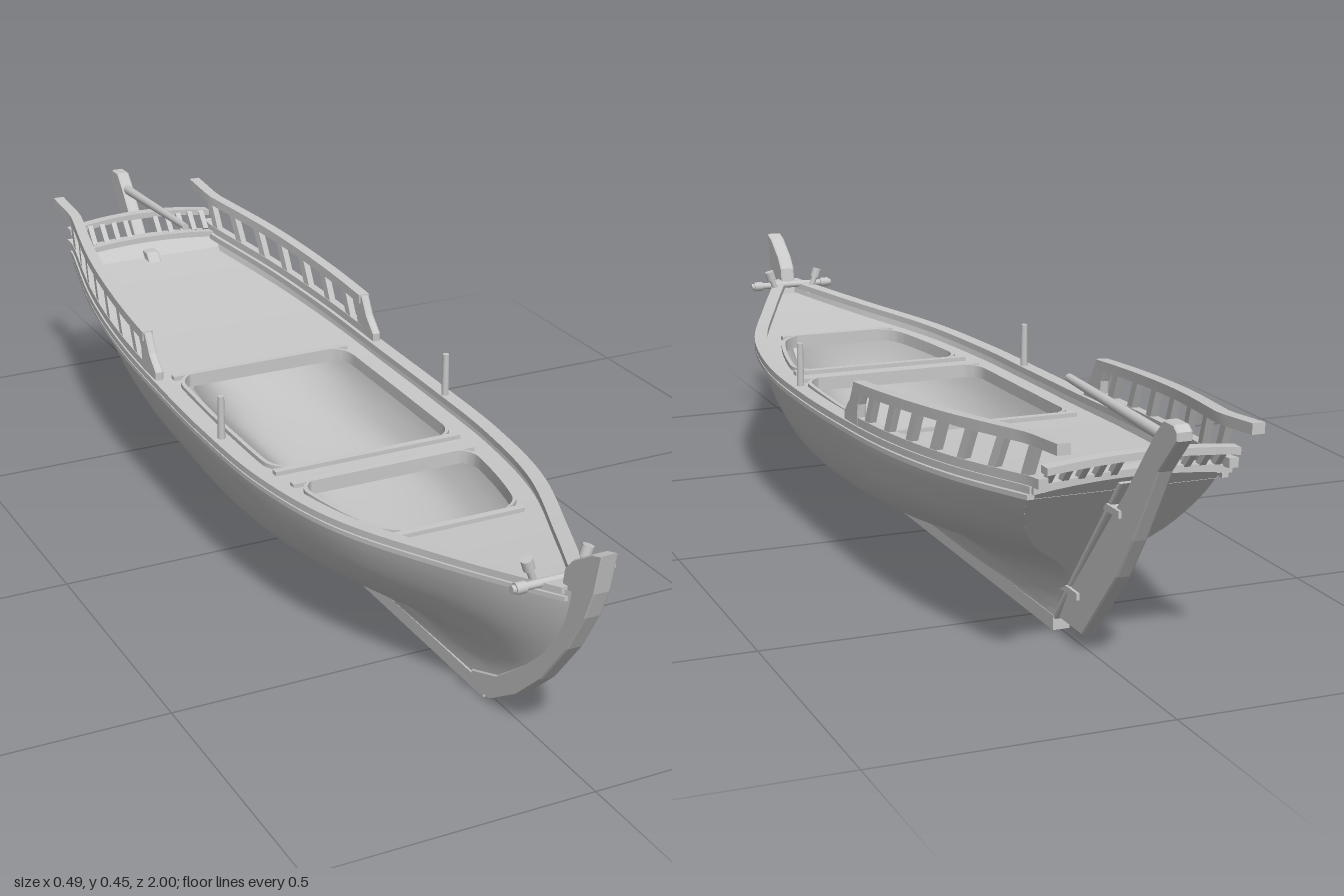
import * as THREE from 'three';
import { toCreasedNormals } from 'three/addons/utils/BufferGeometryUtils.js';

const wood = new THREE.MeshStandardMaterial({ color: 0xc8c8c8, side: THREE.DoubleSide });
wood.name = 'pale grey';
const lerp = THREE.MathUtils.lerp, clamp = THREE.MathUtils.clamp;
const V = (x, y, z) => new THREE.Vector3(x, y, z);

// Hull half-widths: rows run stern to bow, columns run keel to sheer
const LEVELS = [0, 0.08, 0.18, 0.3, 0.42, 0.6, 0.8, 1];
const STATIONS = [
  [.013, .014, .016, .022, .045, .115, .152, .165],
  [.014, .016, .024, .050, .105, .172, .198, .208],
  [.014, .018, .032, .090, .158, .205, .223, .231],
  [.014, .019, .038, .122, .180, .213, .230, .238],
  [.014, .019, .040, .130, .186, .215, .231, .240],
  [.014, .018, .036, .115, .170, .202, .220, .232],
  [.013, .017, .028, .080, .125, .160, .180, .194],
  [.012, .014, .020, .038, .060, .082, .097, .108],
  [.011, .011, .011, .011, .011, .011, .011, .011],
];

// Smooth interpolation through evenly spaced values
function spline(a, t) {
  const p = clamp(t, 0, 1) * (a.length - 1), i = Math.min(Math.floor(p), a.length - 2), f = p - i;
  const p1 = a[i], p2 = a[i + 1], p0 = a[i - 1] ?? 2 * p1 - p2, p3 = a[i + 2] ?? 2 * p2 - p1;
  return p1 + 0.5 * f * (p2 - p0 + f * (2 * p0 - 5 * p1 + 4 * p2 - p3 + f * (3 * (p1 - p2) + p3 - p0)));
}
const Z_STERN = -0.825, Z_BOW = 0.933;
const sheer = z => 0.275 + (z < 0.2 ? 0.055 * ((z - 0.2) / 1.04) ** 2 : 0.045 * ((z - 0.2) / 0.75) ** 2);
const sternLine = y => -0.575 - 0.8 * (y - 0.02);
const bowLine = y => 0.66 + 0.275 * (1 - Math.max(0, 1 - (y - 0.015) / 0.315) ** 2);

// Point on the hull: u from stern to bow, v from keel to sheer
function hullPoint(u, v) {
  const x = spline(STATIONS.map(row => spline(row, v)), u);
  const y = lerp(0.015, sheer(lerp(Z_STERN, Z_BOW, u)), spline(LEVELS, v));
  return V(x, y, lerp(sternLine(y), bowLine(y), u));
}
const halfWidth = z => hullPoint((z - Z_STERN) / (Z_BOW - Z_STERN), 1).x;

// Grid surface from a rule giving the point at row i, column j
function surface(nu, nv, rule) {
  const pos = [], idx = [];
  for (let i = 0; i <= nu; i++) for (let j = 0; j <= nv; j++) pos.push(...rule(i, j).toArray());
  for (let i = 0; i < nu; i++) for (let j = 0; j < nv; j++) {
    const a = i * (nv + 1) + j, b = a + nv + 1;
    idx.push(a, a + 1, b, b, a + 1, b + 1);
  }
  const g = new THREE.BufferGeometry();
  g.setAttribute('position', new THREE.Float32BufferAttribute(pos, 3));
  g.setIndex(idx);
  g.computeVertexNormals();
  return g;
}

// Square-edged moulding along a path; its width lies along x or z
function moulding(path, n, w, h, axis = 'x') {
  const ring = [[-1, -1], [1, -1], [1, 1], [-1, 1], [-1, -1]];
  const g = surface(n + 2, 4, (i, j) => {
    const p = path(clamp((i - 1) / n, 0, 1));
    if (i > 0 && i < n + 2) { p[axis] += ring[j][0] * w / 2; p.y += ring[j][1] * h / 2; }
    return p;
  });
  return toCreasedNormals(g, 0.6);
}

export function createModel() {
  const model = new THREE.Group();
  model.name = 'boat';
  const add = (name, geo) => {
    const m = new THREE.Mesh(geo, wood);
    m.name = name;
    model.add(m);
    return m;
  };
  const rod = (name, a, b, r, r2 = r) => {
    const m = add(name, new THREE.CylinderGeometry(r2, r, a.distanceTo(b), 12));
    m.position.lerpVectors(a, b, 0.5);
    m.quaternion.setFromUnitVectors(V(0, 1, 0), b.clone().sub(a).normalize());
    return m;
  };
  const bar = (name, a, b, w, h) => {
    const m = add(name, new THREE.BoxGeometry(w, h, a.distanceTo(b)));
    m.position.lerpVectors(a, b, 0.5);
    m.lookAt(b);
    return m;
  };
  // Plate cut from a side outline of [z, y] points
  const plate = (name, pts, t, x = 0) => {
    const g = new THREE.ExtrudeGeometry(new THREE.Shape(pts.map(p => new THREE.Vector2(-p[0], p[1]))),
      { depth: t - 0.006, bevelThickness: 0.003, bevelSize: 0.002, bevelSegments: 1 });
    g.translate(0, 0, -t / 2 + 0.003).rotateY(Math.PI / 2);
    const m = add(name, g);
    m.position.x = x;
  };

  // Hatch openings in the deck, with rounded corners
  const hatches = [[-0.23, 0.23], [0.29, 0.56]], R = 0.05;
  const hatchEdge = z => {
    const h = hatches.find(([a, b]) => z >= a && z <= b);
    if (!h) return 0;
    const d = Math.min(R, z - h[0], h[1] - z);
    return halfWidth(z) - 0.055 - R + Math.sqrt(R * R - (R - d) ** 2);
  };
  const deckY = z => sheer(z) - 0.022;
  const deckZ = [];
  for (let i = 0; i <= 170; i++) deckZ.push(-0.805 + i * 0.01);
  hatches.flat().forEach(e => deckZ.push(e - 1e-4, e, e + 1e-4));
  deckZ.sort((a, b) => a - b);

  for (const s of [1, -1]) {
    // Planking outside and inside
    add('hull', surface(72, 35, (i, j) => hullPoint(i / 72, j / 35).multiply(V(s, 1, 1))));
    add('innerHull', surface(60, 28, (i, j) => {
      const p = hullPoint(0.01 + 0.98 * i / 60, j / 28);
      return V(s * Math.max(0, p.x - 0.01), p.y + 0.012 * (1 - j / 28), p.z);
    }));
    // Deck, hatch coamings and gunwale
    add('deck', surface(deckZ.length - 1, 1, (i, j) => {
      const z = deckZ[i];
      return V(s * (j ? Math.max(0, halfWidth(z) - 0.01) : hatchEdge(z)), deckY(z), z);
    }));
    for (const [a, b] of hatches) {
      add('hatchCoaming', moulding(t => {
        const z = lerp(a + 0.001, b - 0.001, (1 - Math.cos(Math.PI * t)) / 2);
        return V(s * hatchEdge(z), deckY(z) - 0.004, z);
      }, 40, 0.008, 0.024));
    }
    add('gunwale', moulding(t => {
      const z = lerp(-0.835, 0.915, t);
      return V(s * Math.max(0.008, halfWidth(z) - 0.007), sheer(z) - 0.001, z);
    }, 70, 0.027, 0.012));
    add('rubbingStrake', moulding(t => {
      const z = lerp(-0.825, 0.92, t);
      return V(s * halfWidth(z), sheer(z) - 0.014, z);
    }, 70, 0.012, 0.008));

    // Balustrade along the after side
    const bx = z => s * (halfWidth(z) - 0.005);
    const capY = z => lerp(0.358, 0.416, (-0.24 - z) / 0.69);
    add('balustradeCap', moulding(t => {
      const z = lerp(-0.24, -0.93, t);
      return V(bx(z), capY(z), z);
    }, 24, 0.022, 0.018));
    add('balustradeSill', moulding(t => {
      const z = lerp(-0.2, -0.86, t);
      return V(bx(z), sheer(z) + 0.012, z);
    }, 24, 0.016, 0.016));
    for (let i = 0; i < 7; i++) {
      const z = -0.29 - i * 0.086, top = z - 0.032;
      bar('baluster', V(bx(z), sheer(z) + 0.012, z), V(bx(top), capY(top), top), 0.013, 0.018);
    }
    plate('balustradeEnd', [[-0.185, 0.283], [-0.185, 0.302], [-0.215, 0.33], [-0.235, 0.364],
      [-0.275, 0.364], [-0.255, 0.33], [-0.25, 0.283]], 0.016, bx(-0.22));

    // Stern rail balusters, thole pin and bow bitts
    for (let i = 0; i < 5; i++) {
      const x = s * (0.035 + i * 0.027);
      bar('sternBaluster', V(x, 0.338, -0.832), V(x, 0.372, -0.862), 0.011, 0.011);
    }
    rod('tholePin', V(s * 0.229, 0.27, 0.1), V(s * 0.229, 0.362, 0.1), 0.007, 0.006);
    rod('bitt', V(s * 0.036, 0.295, 0.86), V(s * 0.051, 0.335, 0.86), 0.006);
    rod('bittHead', V(s * 0.05, 0.332, 0.86), V(s * 0.056, 0.35, 0.86), 0.01);
    rod('crossbarEnd', V(s * 0.068, 0.315, 0.878), V(s * 0.086, 0.315, 0.878), 0.01);
    rod('crossbarTip', V(s * 0.086, 0.315, 0.878), V(s * 0.092, 0.315, 0.878), 0.007);
  }
  rod('crossbar', V(-0.08, 0.315, 0.878), V(0.08, 0.315, 0.878), 0.007);

  // Beams at the hatch ends
  for (const z of hatches.flat()) {
    const w = halfWidth(z) - 0.05;
    bar('deckBeam', V(-w, deckY(z) - 0.005, z), V(w, deckY(z) - 0.005, z), 0.014, 0.026);
  }

  // Raked transom with an arched top, and the stern rail above it
  add('transom', surface(28, 16, (i, j) => {
    const p = hullPoint(0, i / 28), k = j / 8 - 1;
    const lift = 0.012 * (1 - k * k) * (i / 28) ** 6;
    return V(p.x * k, p.y + lift, p.z - lift * 0.8);
  }));
  add('transomCap', moulding(t => V(lerp(-0.168, 0.168, t), sheer(Z_STERN) + 0.012 * (1 - (2 * t - 1) ** 2), -0.828),
    20, 0.026, 0.012, 'z'));
  add('sternRail', moulding(t => {
    const k = 2 * t - 1;
    return V(k * 0.162, 0.379 - 0.012 * k * k, -0.866 - 0.008 * (1 - k * k));
  }, 20, 0.022, 0.012, 'z'));

  // Backbone: keel, stem and stern post
  bar('keel', V(0, 0.013, -0.585), V(0, 0.013, 0.68), 0.03, 0.026);
  plate('stem', [[0.64, 0.003], [0.7, 0.008], [0.78, 0.06], [0.85, 0.125], [0.92, 0.215], [0.963, 0.29],
    [0.983, 0.34], [0.998, 0.408], [0.975, 0.4], [0.925, 0.368], [0.905, 0.345], [0.9, 0.315],
    [0.88, 0.23], [0.81, 0.13], [0.72, 0.06], [0.64, 0.03]], 0.03);
  plate('sternPost', [[-0.55, 0.02], [-0.583, 0.02], [-0.822, 0.318], [-0.79, 0.318]], 0.028);

  // Rudder, its hinges and the tiller
  plate('rudder', [[-0.605, 0.03], [-0.69, 0.03], [-0.81, 0.165], [-0.862, 0.24], [-0.94, 0.37], [-0.996, 0.43],
    [-0.996, 0.442], [-0.985, 0.45], [-0.955, 0.45], [-0.93, 0.425], [-0.842, 0.315], [-0.64, 0.085]], 0.026);
  for (const y of [0.09, 0.27]) {
    const z = sternLine(y);
    bar('rudderHinge', V(0, y, z + 0.02), V(0, y, z - 0.05), 0.036, 0.012);
  }
  rod('tiller', V(0, 0.42, -0.95), V(0, 0.434, -0.6), 0.01, 0.007);
  return model;
}
